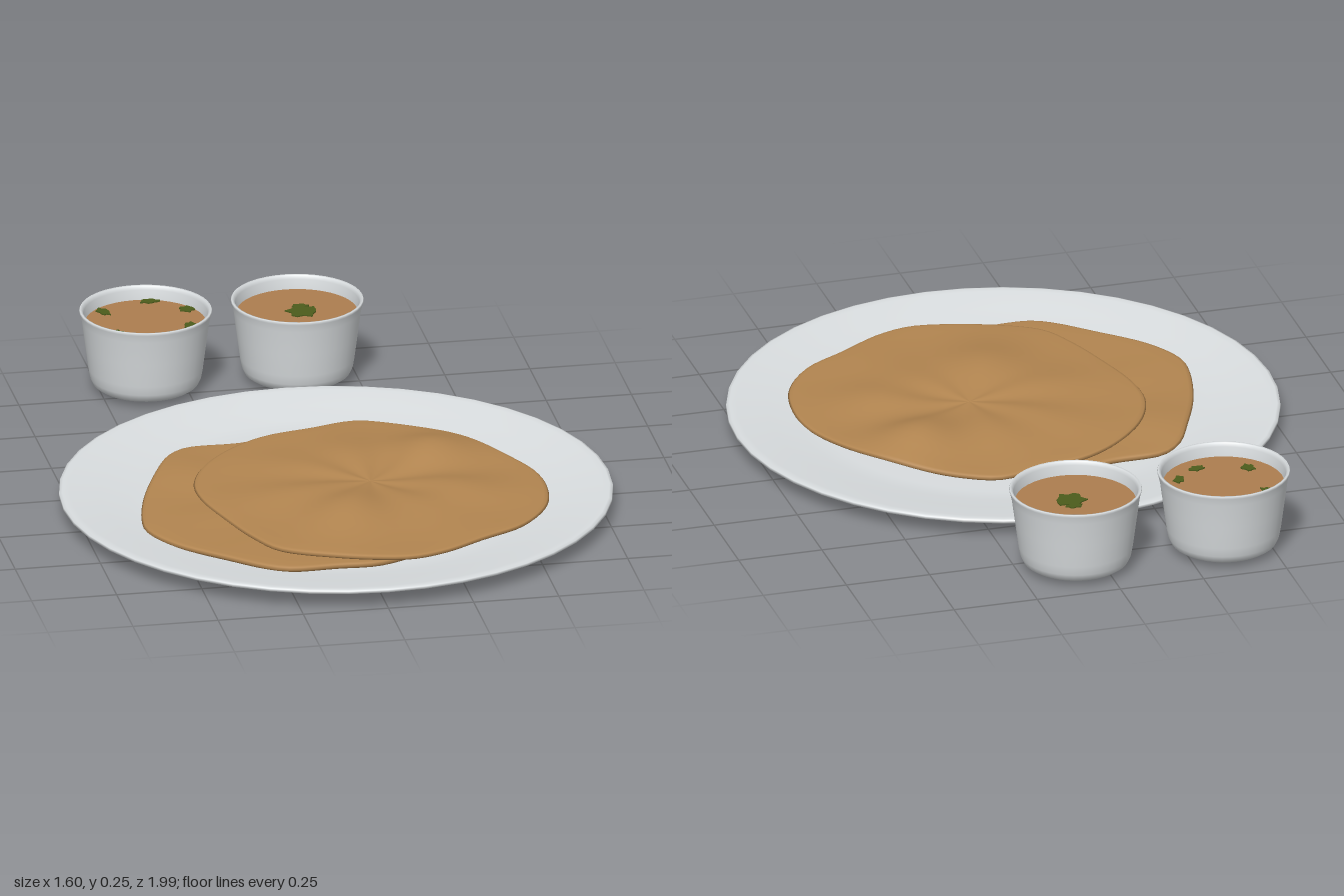
import * as THREE from 'three';

const material = (name, color) => {
  const m = new THREE.MeshStandardMaterial({ color });
  m.name = name;
  return m;
};
const china = material('white china', 0xd9dddf);
const batter = material('golden pancake', 0xb28550);
const sauce = material('brown sauce', 0xad7d4f);
const herb = material('green herb', 0x4c5c1c);

const vectors = (pairs) => pairs.map(([x, y]) => new THREE.Vector2(x, y));

function add(parent, name, geometry, mat, x = 0, y = 0, z = 0) {
  const mesh = new THREE.Mesh(geometry, mat);
  mesh.name = name;
  mesh.position.set(x, y, z);
  parent.add(mesh);
  return mesh;
}

// Thin irregular disc: rings shrink from the outline to the centre, bumps lift the surface
function pancakeGeometry(outline, [cx, cz], base, thickness, bumps, fold) {
  const n = 96;
  const curve = new THREE.CatmullRomCurve3(
    outline.map(([x, z]) => new THREE.Vector3(x, 0, z)), true, 'centripetal');
  const edge = curve.getSpacedPoints(n).slice(0, n);
  const lift = (x, z, t) => {
    let y = 0;
    for (const [bx, bz, radius, height] of bumps) {
      y += height * Math.exp(-((x - bx) ** 2 + (z - bz) ** 2) / (radius * radius));
    }
    return y + fold * 4 * t * (1 - t) * Math.sin(7 * Math.atan2(z - cz, x - cx));
  };
  // [fraction of outline, drop below the top surface]
  const rings = [];
  for (let i = 0; i <= 12; i++) rings.push([i / 12 * 0.97, 0]);
  rings.push([0.99, 0.15], [1, 0.5], [0.985, 0.95], [0.9, 1], [0.5, 1], [0, 1]);

  const positions = [], indices = [];
  for (const [t, drop] of rings) {
    for (const p of edge) {
      const x = cx + (p.x - cx) * t, z = cz + (p.z - cz) * t;
      positions.push(x, base + lift(x, z, t) - drop * thickness, z);
    }
  }
  for (let r = 0; r < rings.length - 1; r++) {
    for (let i = 0; i < n; i++) {
      const j = (i + 1) % n;
      const a = r * n + i, b = a + n, c = (r + 1) * n + j, d = r * n + j;
      if (rings[r + 1][0] > 0) indices.push(a, b, c);
      if (rings[r][0] > 0) indices.push(a, c, d);
    }
  }
  const g = new THREE.BufferGeometry();
  g.setAttribute('position', new THREE.Float32BufferAttribute(positions, 3));
  g.setIndex(indices);
  g.computeVertexNormals();
  return g;
}

// Ragged flat leaf lying on the sauce
function leafGeometry(rx, rz, seed) {
  const shape = new THREE.Shape();
  for (let i = 0; i < 14; i++) {
    const a = i / 14 * Math.PI * 2;
    const k = 0.88 + 0.2 * Math.sin(i * 2.4 + seed * 1.7);
    const x = Math.cos(a) * rx * k, y = Math.sin(a) * rz * k;
    if (i) shape.lineTo(x, y); else shape.moveTo(x, y);
  }
  return new THREE.ExtrudeGeometry(shape, { depth: 0.004, bevelEnabled: false }).rotateX(-Math.PI / 2);
}

// Cup with rounded foot, thin wall, sauce and herb leaves [dx, dz, rx, rz, turn]
function sauceCup(name, x, z, leaves) {
  const cup = new THREE.Group();
  cup.name = name;
  cup.position.set(x, 0, z);
  const profile = vectors([
    [0, 0.012], [0.12, 0.012], [0.14, 0.015], [0.153, 0.024], [0.161, 0.042], [0.166, 0.07],
    [0.175, 0.14], [0.185, 0.215], [0.19, 0.238], [0.192, 0.243], [0.19, 0.247], [0.184, 0.246],
    [0.179, 0.235], [0.174, 0.2], [0.158, 0.07], [0.145, 0.035], [0, 0.03]]);
  add(cup, 'cupBody', new THREE.LatheGeometry(profile, 40), china);
  add(cup, 'cupSauce', new THREE.CylinderGeometry(0.175, 0.174, 0.006, 40), sauce, 0, 0.203, 0);
  leaves.forEach(([dx, dz, rx, rz, turn], i) => {
    add(cup, 'herbLeaf', leafGeometry(rx, rz, i), herb, dx, 0.2055, dz).rotation.y = turn;
  });
  return cup;
}

export function createModel() {
  const model = new THREE.Group();
  model.name = 'pancakePlateWithSauces';

  // Shallow plate
  const plate = vectors([
    [0, 0], [0.08, 0.002], [0.5, 0.007], [0.58, 0.014], [0.68, 0.028], [0.785, 0.041], [0.8, 0.047],
    [0.799, 0.055], [0.79, 0.058], [0.77, 0.056], [0.68, 0.043], [0.6, 0.03], [0.53, 0.023], [0, 0.02]]);
  add(model, 'plate', new THREE.LatheGeometry(plate, 44), china, 0, 0, 0.195);

  // Two overlapping pancakes
  const lower = [
    [0.03, -0.27], [-0.05, -0.28], [-0.2, -0.24], [-0.36, -0.23], [-0.42, -0.18], [-0.48, -0.06],
    [-0.55, 0.12], [-0.59, 0.3], [-0.59, 0.38], [-0.53, 0.5], [-0.4, 0.63], [-0.3, 0.72], [-0.24, 0.75],
    [-0.1, 0.75], [0.03, 0.75], [0.2, 0.66], [0.4, 0.5], [0.48, 0.25], [0.4, 0], [0.22, -0.19]];
  add(model, 'lowerPancake', pancakeGeometry(lower, [-0.08, 0.24], 0.046, 0.018,
    [[-0.4, -0.05, 0.14, 0.01]], 0.002), batter);

  const upper = [
    [0.15, -0.3], [0.01, -0.265], [-0.13, -0.23], [-0.25, -0.15], [-0.35, -0.03], [-0.4, 0.1],
    [-0.4, 0.22], [-0.36, 0.38], [-0.31, 0.53], [-0.25, 0.64], [-0.1, 0.72], [0.03, 0.76],
    [0.12, 0.77], [0.22, 0.74], [0.35, 0.66], [0.48, 0.58], [0.57, 0.45], [0.6, 0.3],
    [0.59, 0.18], [0.54, 0.06], [0.46, -0.07], [0.36, -0.18], [0.25, -0.26]];
  add(model, 'upperPancake', pancakeGeometry(upper, [0.1, 0.2], 0.065, 0.016,
    [[0.31, 0, 0.13, 0.04], [0, 0.41, 0.16, 0.033], [0.32, 0.33, 0.12, 0.022],
      [0.03, 0, 0.16, 0.02], [-0.15, 0.2, 0.15, 0.012]], 0.004), batter);

  // Two sauce cups behind the plate
  model.add(sauceCup('scatteredHerbCup', -0.367, -0.807, [
    [-0.105, -0.1, 0.018, 0.032, 0.4], [0.04, -0.155, 0.03, 0.017, 0], [0.135, -0.075, 0.024, 0.024, 0.5],
    [0.12, 0.05, 0.017, 0.026, -0.4], [0.05, 0.108, 0.026, 0.017, 0.2], [-0.095, 0.072, 0.02, 0.025, 0.3]]));
  model.add(sauceCup('centreHerbCup', 0.078, -0.807, [
    [0.014, 0.005, 0.048, 0.046, 0.2], [0.014, -0.038, 0.026, 0.014, 0]]));

  return model;
}
